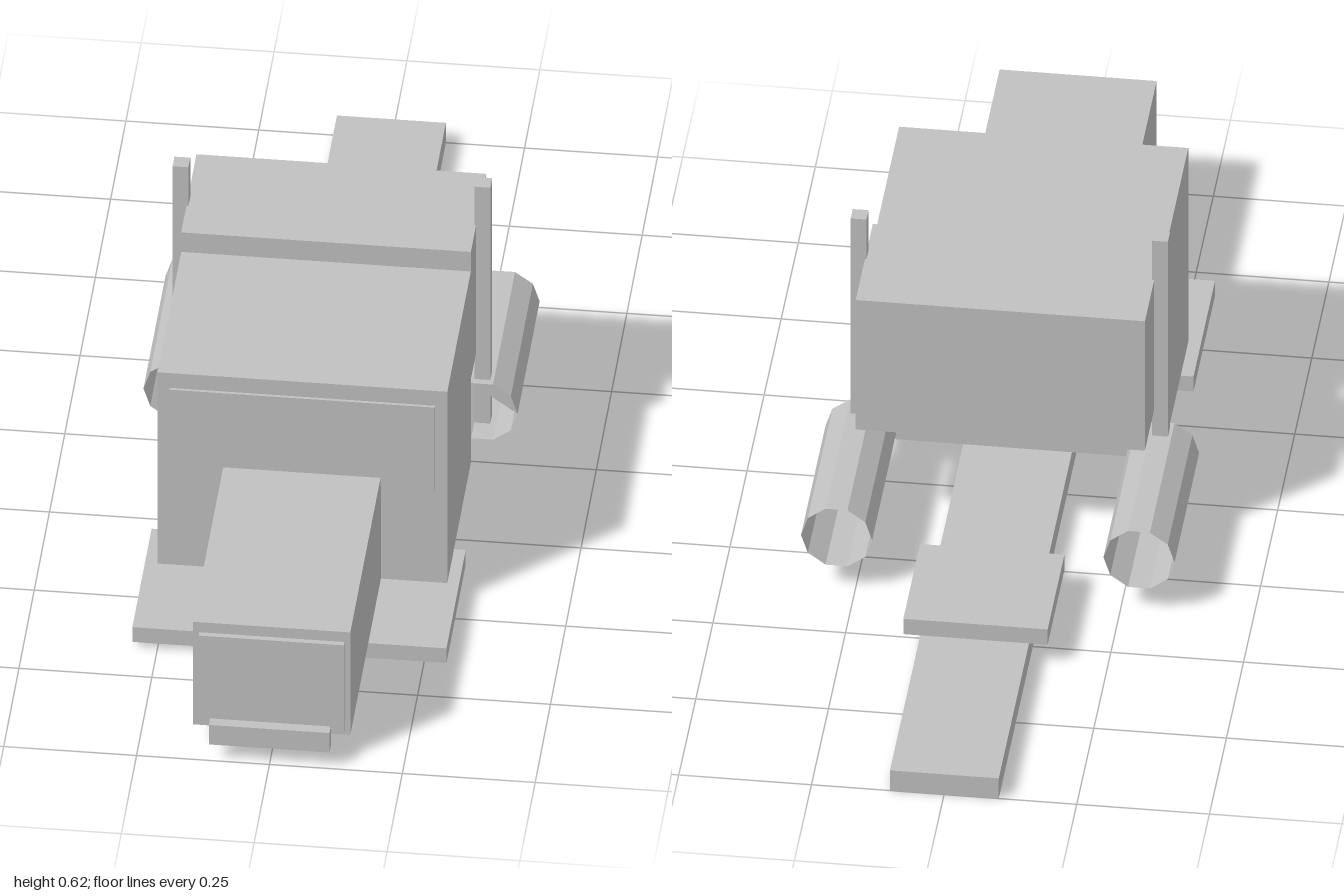
import * as THREE from 'three';

export function createModel() {
  const model = new THREE.Group();
  model.name = 'truck';
  const grey = new THREE.MeshStandardMaterial({ color: 0xc0c0c0, flatShading: true });
  grey.name = 'plain grey';
  grey.side = THREE.DoubleSide;

  const add = (name, geometry) => {
    const mesh = new THREE.Mesh(geometry, grey);
    mesh.name = name;
    model.add(mesh);
    return mesh;
  };

  // Box given by its limits on each axis
  const box = (name, [x0, x1], [y0, y1], [z0, z1]) =>
    add(name, new THREE.BoxGeometry(x1 - x0, y1 - y0, z1 - z0))
      .position.set((x0 + x1) / 2, (y0 + y1) / 2, (z0 + z1) / 2);

  // Chassis and the plates crossing it
  box('chassis', [-0.103, 0.102], [0, 0.046], [-1, 0.706]);
  box('frontAxlePlate', [-0.297, 0.294], [0.013, 0.047], [0.345, 0.66]);
  box('hitchPlate', [-0.138, 0.134], [0.046, 0.081], [-0.556, -0.31]);

  // Body
  box('hood', [-0.149, 0.147], [0.048, 0.285], [0.455, 0.955]);
  box('grille', [-0.137, 0.136], [0.059, 0.262], [0.955, 0.966]);
  box('bumper', [-0.114, 0.113], [0.037, 0.082], [0.979, 1]);
  box('cab', [-0.273, 0.272], [0.048, 0.49], [0.07, 0.455]);
  box('windshield', [-0.25, 0.249], [0.264, 0.456], [0.455, 0.461]);
  box('sleeper', [-0.273, 0.272], [0.24, 0.535], [-0.18, 0.07]);

  // Ten-sided open fuel tanks, each with a partial front cap, and exhaust stacks
  const radius = 0.067, length = 0.36, tankY = 0.117;
  const capPoints = [0, 1, 2, 3].map((i) => {
    const a = (i * Math.PI) / 5;
    return new THREE.Vector2(Math.cos(a) * radius, Math.sin(a) * radius);
  });
  for (const side of [-1, 1]) {
    const label = side > 0 ? 'left' : 'right';
    const tank = new THREE.CylinderGeometry(radius, radius, length, 10, 1, true, Math.PI / 2);
    tank.rotateX(Math.PI / 2);
    add(label + 'FuelTank', tank).position.set(side * 0.285, tankY, -length / 2);
    add(label + 'TankCap', new THREE.ShapeGeometry(new THREE.Shape(capPoints)))
      .position.set(side * 0.285, tankY, 0);

    const stackX = [side * 0.269, side * 0.299].sort((a, b) => a - b);
    box(label + 'ExhaustStack', stackX, [0.08, 0.625], [-0.045, -0.014]);
  }
  return model;
}
